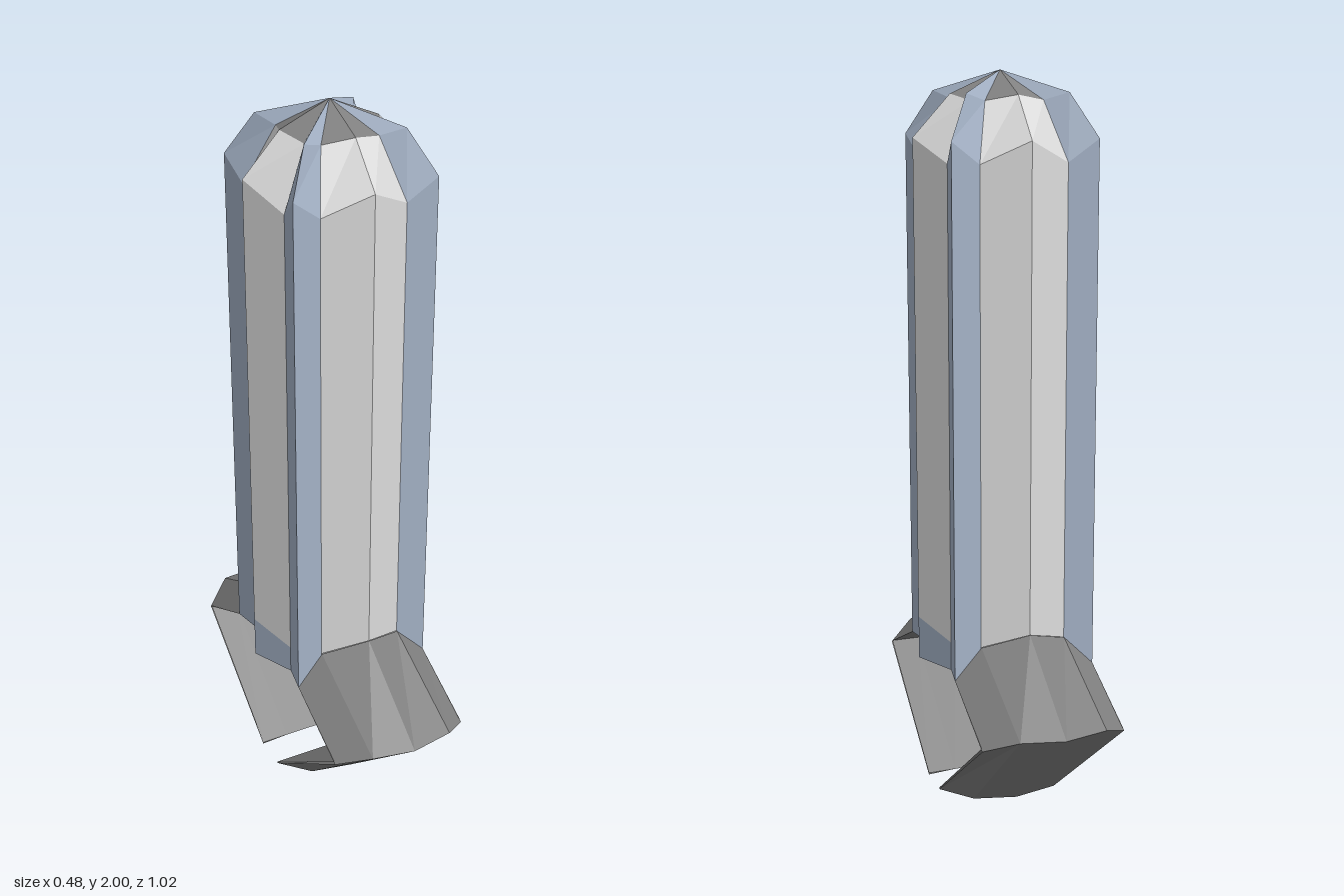
import * as THREE from 'three';

const mat = (name, color) => {
  const m = new THREE.MeshStandardMaterial({ color, side: THREE.DoubleSide, flatShading: true });
  m.name = name;
  return m;
};

// Facets between rows of [x, y, z] points; rows run upwards, columns to the right
function sheet(rows) {
  const v = [];
  for (let r = 0; r < rows.length - 1; r++) {
    for (let c = 0; c < rows[r].length - 1; c++) {
      const [a, b, d, e] = [rows[r][c], rows[r][c + 1], rows[r + 1][c + 1], rows[r + 1][c]];
      v.push(...a, ...b, ...d, ...a, ...d, ...e);
    }
  }
  const g = new THREE.BufferGeometry();
  g.setAttribute('position', new THREE.Float32BufferAttribute(v, 3));
  g.computeVertexNormals();
  return g;
}

// Row of five points mirrored about x = 0, from [y, z] at centre, middle and side
const row5 = (centre, middle, side) => [
  [-0.2, ...side], [-0.12, ...middle], [0, ...centre], [0.12, ...middle], [0.2, ...side]
];
const flat = (p) => row5(p, p, p);

export function createModel() {
  const model = new THREE.Group();
  const white = mat('pale panel', 0xdcdcdc);
  const blue = mat('blue grey', 0xa4b2c6);
  const grey = mat('dark grey', 0x808080);

  const add = (name, geometry, material, turn = 0) => {
    const mesh = new THREE.Mesh(geometry, material);
    mesh.name = name;
    mesh.rotation.y = turn;
    model.add(mesh);
    return mesh;
  };

  const apex = [0, 2, 0];
  const ring = [[-0.08, 1.925, 0.11], [0, 1.94, 0.138], [0.08, 1.925, 0.11]];
  const foot = [[-0.12, 0.48, 0.185], [0, 0.52, 0.24], [0.12, 0.48, 0.185]];

  // Pale side panels with sloping shoulders
  const panel = sheet([
    foot,
    [[-0.12, 1.77, 0.185], [0, 1.83, 0.24], [0.12, 1.77, 0.185]],
    ring
  ]);
  // Dark cap facets above each panel
  const cap = sheet([ring, [apex, apex, apex]]);
  // Raised corner ribs that run up to the apex
  const rib = sheet([
    [[0.12, 0.4, 0.185], [0.2, 0.4, 0.2], [0.185, 0.4, 0.12]],
    [[0.12, 1.77, 0.185], [0.2, 1.83, 0.2], [0.185, 1.77, 0.12]],
    [[0.08, 1.925, 0.11], [0.14, 1.945, 0.14], [0.11, 1.925, 0.08]],
    [apex, apex, apex]
  ]);
  for (let i = 0; i < 4; i++) {
    const turn = i * Math.PI / 2;
    add('sidePanel', panel, white, turn);
    add('cap', cap, grey, turn);
    add('cornerRib', rib, blue, turn);
  }

  // Skirts under the left and right panels
  const skirt = sheet([foot.map(([x, , z]) => [x, 0.4, z]), foot]);
  // Bent claws: inner face, tip, lower arm and upper arm
  const claw = sheet([
    flat([0.4, 0.2]),
    flat([0.295, 0.415]),
    flat([0.02, 0.05]),
    row5([0, 0.14], [0.005, 0.12], [0.015, 0.05]),
    row5([0.325, 0.508], [0.33, 0.49], [0.29, 0.422]),
    row5([0.52, 0.241], [0.48, 0.188], [0.4, 0.2])
  ]);
  for (const s of [0, 1]) {
    add('skirt', skirt, blue, Math.PI * (s + 0.5));
    add('claw', claw, grey, Math.PI * s);
  }

  // Underside of the body
  const outline = [
    [0.24, 0], [0.185, 0.12], [0.2, 0.2], [-0.2, 0.2], [-0.185, 0.12],
    [-0.24, 0], [-0.185, -0.12], [-0.2, -0.2], [0.2, -0.2], [0.185, -0.12]
  ].map(([x, z]) => new THREE.Vector2(x, z));
  const floor = new THREE.ShapeGeometry(new THREE.Shape(outline));
  floor.rotateX(Math.PI / 2);
  add('underside', floor, grey).position.y = 0.401;

  // Small point under the body
  const point = new THREE.ConeGeometry(0.032, 0.035, 4);
  point.rotateX(Math.PI);
  add('bottomPoint', point, white).position.y = 0.383;

  return model;
}
